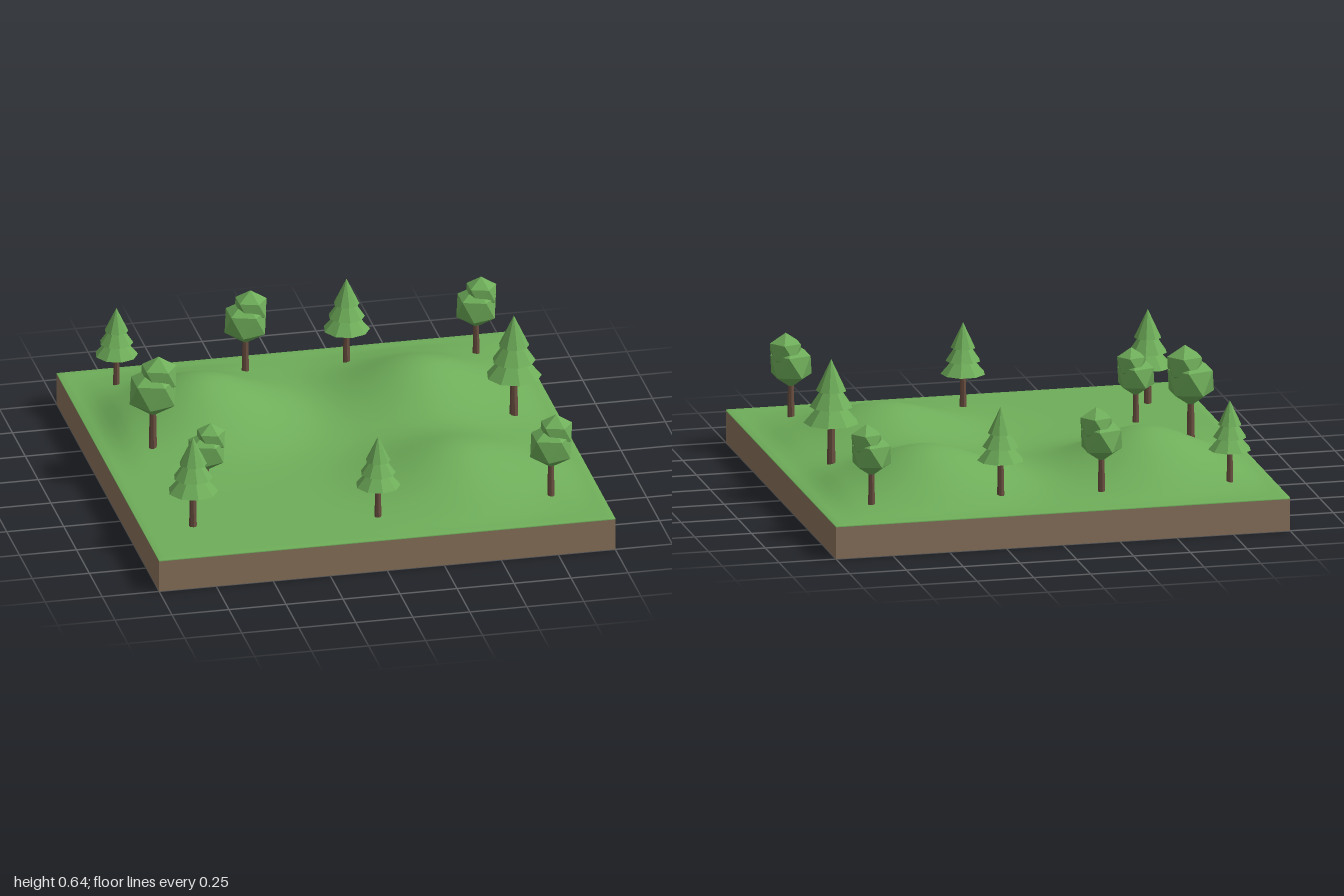
import * as THREE from 'three';

const flat = (name, color, flatShading = false) => {
  const m = new THREE.MeshStandardMaterial({ color, flatShading });
  m.name = name;
  return m;
};

const BASE_TOP = 0.14;
const LAWN = 0.146;

// Hills: x, z, height, spread
const HILLS = [
  [-0.5, -0.4, 0.19, 0.24],
  [0.46, -0.41, 0.168, 0.24],
  [0.44, 0.42, 0.135, 0.24],
];

// Ground height; hills fade out towards the border
function groundAt(x, z) {
  const edge = 1 - Math.max(Math.abs(x), Math.abs(z));
  const fade = THREE.MathUtils.smoothstep(edge, 0, 0.16);
  let h = 0;
  for (const [hx, hz, height, s] of HILLS) {
    h += height * Math.exp(-((x - hx) ** 2 + (z - hz) ** 2) / (2 * s * s));
  }
  return LAWN + h * fade;
}

// Lawn grid whose outermost ring folds down into a thin lip
function lawnGeometry() {
  const inner = 60;
  const n = inner + 2;
  const geo = new THREE.PlaneGeometry(n, n, n, n);
  geo.rotateX(-Math.PI / 2);
  const p = geo.attributes.position;
  for (let i = 0; i < p.count; i++) {
    const gx = p.getX(i) / (inner / 2);
    const gz = p.getZ(i) / (inner / 2);
    const lip = Math.max(Math.abs(gx), Math.abs(gz)) > 1.001;
    const x = THREE.MathUtils.clamp(gx, -1, 1);
    const z = THREE.MathUtils.clamp(gz, -1, 1);
    p.setXYZ(i, x, lip ? BASE_TOP : groundAt(x, z), z);
  }
  geo.computeVertexNormals();
  return geo;
}

export function createModel() {
  const grass = flat('grass green', 0x6fae5a);
  const soil = flat('soil brown', 0x8c745e);
  const bark = flat('bark brown', 0x6b4f40, true);
  const leaves = flat('leaf green', 0x6fae5a, true);

  const model = new THREE.Group();
  model.name = 'landscapeTile';

  const add = (parent, name, geo, mat, x = 0, y = 0, z = 0) => {
    const mesh = new THREE.Mesh(geo, mat);
    mesh.name = name;
    mesh.position.set(x, y, z);
    parent.add(mesh);
    return mesh;
  };

  add(model, 'soilBase', new THREE.BoxGeometry(2, BASE_TOP, 2), soil, 0, BASE_TOP / 2, 0);
  add(model, 'lawn', lawnGeometry(), grass);

  // Trees are built with a crown radius of 1 and then scaled
  const trunkGeo = new THREE.CylinderGeometry(0.12, 0.16, 1.8, 8);
  trunkGeo.translate(0, 0.8, 0);

  // Icosahedron turned so that one corner points straight up
  const crownGeo = new THREE.IcosahedronGeometry(1, 0);
  crownGeo.rotateX(-Math.atan((1 + Math.sqrt(5)) / 2));
  crownGeo.rotateY(Math.PI / 2);

  const tierGeos = [1, 0.78, 0.55].map((r) => new THREE.ConeGeometry(r, 1.15, 9));

  const plant = (name, x, z, size) => {
    const tree = new THREE.Group();
    tree.name = name;
    tree.position.set(x, groundAt(x, z), z);
    tree.scale.setScalar(size);
    add(tree, 'trunk', trunkGeo, bark);
    model.add(tree);
    return tree;
  };

  // Conifers: x, z, crown radius
  const conifers = [
    [-0.78, 0.68, 0.108],
    [0.01, 0.775, 0.097],
    [0.22, -0.775, 0.101],
    [0.8, -0.09, 0.12],
    [-0.79, -0.77, 0.093],
  ];
  for (const [x, z, size] of conifers) {
    const tree = plant('conifer', x, z, size);
    tierGeos.forEach((geo, i) => add(tree, 'tier', geo, leaves, 0, 1.52 + 0.59 * i + 0.575, 0));
  }

  // Broadleaf trees: x, z, crown radius
  const broadleaves = [
    [-0.785, -0.08, 0.114],
    [-0.22, -0.79, 0.102],
    [-0.655, 0.38, 0.091],
    [0.785, -0.76, 0.097],
    [0.775, 0.745, 0.102],
  ];
  for (const [x, z, size] of broadleaves) {
    const tree = plant('broadleafTree', x, z, size);
    add(tree, 'lowerCrown', crownGeo, leaves, 0, 2.27, 0);
    add(tree, 'upperCrown', crownGeo, leaves, 0.23, 2.89, -0.03).scale.setScalar(0.77);
  }

  return model;
}
